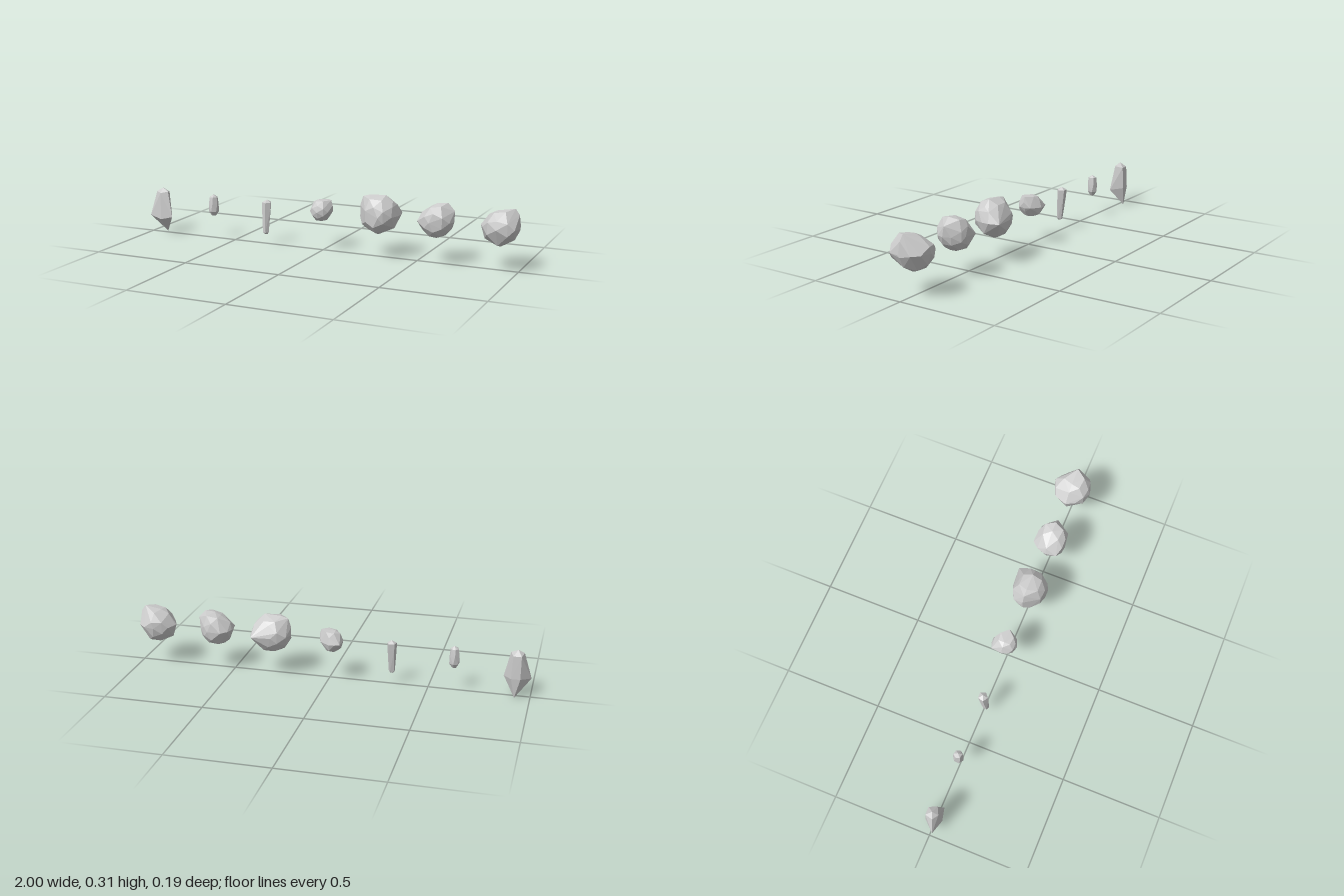
import * as THREE from 'three';
import { ConvexGeometry } from 'three/addons/geometries/ConvexGeometry.js';

const material = new THREE.MeshStandardMaterial({ color: 0xcccccc, flatShading: true });

function addHull(group, name, points) {
  const mesh = new THREE.Mesh(new ConvexGeometry(points), material);
  mesh.name = name;
  group.add(mesh);
}

// Rounded rock: an icosphere whose radius is blended between outline points.
// front holds [x, y], plan holds [x, z], side holds [z, y] pairs.
function addBoulder(group, name, [cx, cy, cz], front, plan, side = []) {
  const center = new THREE.Vector3(cx, cy, cz);
  const anchors = [
    ...front.map(([x, y]) => new THREE.Vector3(x, y, cz)),
    ...plan.map(([x, z]) => new THREE.Vector3(x, cy, z)),
    ...side.map(([z, y]) => new THREE.Vector3(cx, y, z)),
  ].map((p) => p.sub(center));
  const points = anchors.map((a) => a.clone().add(center));
  const pos = new THREE.IcosahedronGeometry(1, 1).attributes.position;
  const seen = new Set();
  for (let i = 0; i < pos.count; i++) {
    const d = new THREE.Vector3().fromBufferAttribute(pos, i).normalize();
    const key = d.toArray().map((v) => Math.round(v * 100)).join();
    if (seen.has(key)) continue;
    seen.add(key);
    let sum = 0, weight = 0, nearest = -1;
    for (const a of anchors) {
      const r = a.length(), dot = d.dot(a) / r;
      const w = 1 / (1.02 - dot) ** 2;
      sum += r * w;
      weight += w;
      nearest = Math.max(nearest, dot);
    }
    // an outline point already stands in for close directions
    if (nearest < 0.93) points.push(d.multiplyScalar(sum / weight).add(center));
  }
  addHull(group, name, points);
}

// Slim crystal: rings of [y, radius, z offset, twist] around a vertical axis
function addShard(group, name, x, sides, rings) {
  const points = [];
  for (const [y, r, z, twist] of rings) {
    const n = r < 0.004 ? 1 : sides;
    for (let i = 0; i < n; i++) {
      const a = (i / sides) * Math.PI * 2 + twist;
      points.push(new THREE.Vector3(x + r * Math.cos(a), y, z + r * Math.sin(a)));
    }
  }
  addHull(group, name, points);
}

export function createModel() {
  const group = new THREE.Group();
  group.name = 'rockSet';

  // Large shard: flat back, wide waist, tip at the bottom rear
  addHull(group, 'largeShard', [
    [-0.93, 0.24, 0.0], [-0.96, 0.222, 0.012], [-0.895, 0.222, 0.012],
    [-0.93, 0.215, 0.03], [-0.95, 0.215, -0.028], [-0.91, 0.215, -0.028],
    [-1.0, 0.09, 0.02], [-0.865, 0.09, 0.026], [-0.925, 0.076, 0.04],
    [-0.95, 0.1, -0.035], [-0.905, 0.1, -0.036], [-0.925, 0.0, -0.028],
  ].map((p) => new THREE.Vector3(...p)));

  // Small shards
  addShard(group, 'shortShard', -0.625, 6, [
    [0.23, 0.001, 0, 0], [0.216, 0.021, 0, 0.2], [0.18, 0.026, 0, 0.3],
    [0.14, 0.026, 0, 0.6], [0.118, 0.011, 0, 0.5],
  ]);
  addShard(group, 'longShard', -0.314, 5, [
    [0.23, 0.001, 0, 0], [0.215, 0.025, 0, 0.25], [0.18, 0.024, 0.003, 0.25],
    [0.062, 0.016, 0.013, 0.1], [0.055, 0.012, 0.012, 0.3],
  ]);

  // Pebble
  addBoulder(group, 'pebble', [-0.01, 0.2, -0.005],
    [[-0.054, 0.242], [-0.03, 0.255], [0.042, 0.257], [0.05, 0.23], [0.036, 0.178],
      [-0.012, 0.146], [-0.06, 0.167], [-0.07, 0.204]],
    [[-0.064, -0.06], [-0.037, -0.07], [0.016, -0.053], [0.048, -0.01],
      [0.037, 0.027], [-0.01, 0.056], [-0.06, 0.027]]);

  // Boulders
  addBoulder(group, 'largeBoulder', [0.3, 0.21, 0],
    [[0.2, 0.25], [0.215, 0.295], [0.25, 0.305], [0.335, 0.31], [0.37, 0.28],
      [0.397, 0.21], [0.38, 0.15], [0.295, 0.11], [0.235, 0.135], [0.2, 0.19]],
    [[0.2, -0.015], [0.285, -0.085], [0.385, -0.093], [0.4, -0.04],
      [0.38, 0.045], [0.325, 0.088], [0.235, 0.045]],
    [[0.08, 0.26], [0.055, 0.13], [-0.075, 0.16], [-0.06, 0.27]]);

  addBoulder(group, 'wedgeBoulder', [0.6, 0.21, 0],
    [[0.507, 0.21], [0.52, 0.245], [0.57, 0.28], [0.65, 0.3], [0.685, 0.262],
      [0.675, 0.2], [0.64, 0.14], [0.595, 0.123], [0.525, 0.155]],
    [[0.51, -0.016], [0.515, 0.055], [0.58, 0.08], [0.685, 0.01],
      [0.67, -0.03], [0.62, -0.075], [0.55, -0.08]]);

  addBoulder(group, 'slopedBoulder', [0.91, 0.21, -0.005],
    [[0.81, 0.21], [0.85, 0.265], [0.89, 0.285], [0.975, 0.3], [0.995, 0.272],
      [1.0, 0.2], [0.975, 0.15], [0.91, 0.113], [0.83, 0.145]],
    [[0.812, -0.016], [0.833, -0.07], [0.9, -0.1], [0.955, -0.085],
      [1.0, 0.005], [0.99, 0.06], [0.91, 0.092], [0.83, 0.037]],
    [[0.08, 0.25], [0.055, 0.13], [-0.085, 0.16], [-0.1, 0.243], [-0.055, 0.278]]);

  return group;
}
